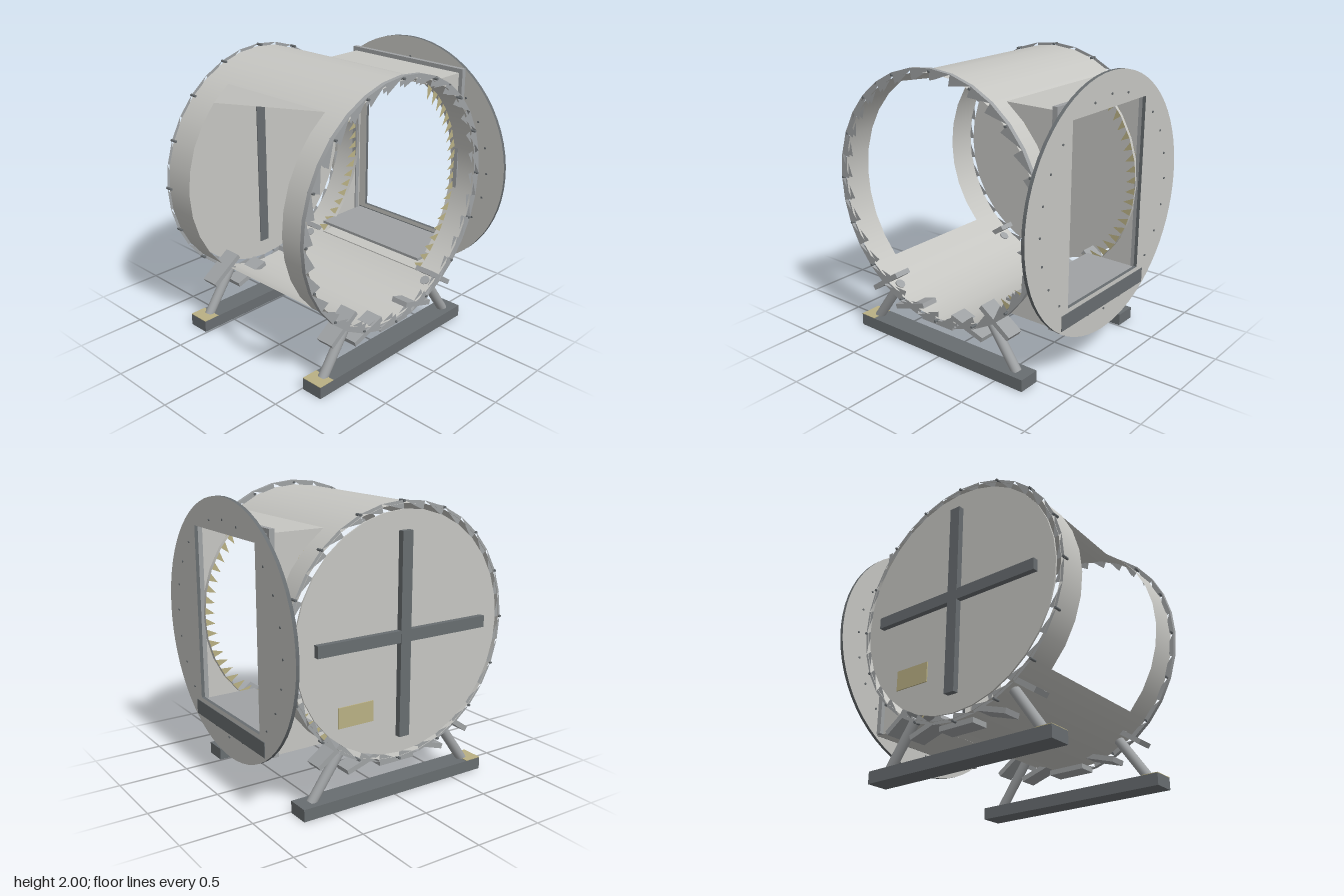
import * as THREE from 'three';

const mat = (name, color) => {
  const m = new THREE.MeshStandardMaterial({ color, side: THREE.DoubleSide });
  m.name = name;
  return m;
};

export function createModel() {
  const shellGrey = mat('shell grey', 0xc6c6c2);
  const flangeGrey = mat('flange grey', 0x9fa2a4);
  const darkSteel = mat('dark steel', 0x686d70);
  const tan = mat('tan', 0xb9b084);

  const model = new THREE.Group();
  const body = new THREE.Group(); // origin on the chamber axis
  body.name = 'chamber';
  body.position.set(-0.02, 1.125, 0);
  model.add(body);

  const add = (parent, name, geo, m, x = 0, y = 0, z = 0) => {
    const mesh = new THREE.Mesh(geo, m);
    mesh.name = name;
    mesh.position.set(x, y, z);
    parent.add(mesh);
    return mesh;
  };
  // box given by its limits
  const box = (parent, name, m, x0, x1, y0, y1, z0, z1) =>
    add(parent, name, new THREE.BoxGeometry(x1 - x0, y1 - y0, z1 - z0), m,
      (x0 + x1) / 2, (y0 + y1) / 2, (z0 + z1) / 2);
  // flat triangles from a list of corner points
  const triangles = (pts) => {
    const g = new THREE.BufferGeometry().setFromPoints(pts);
    g.computeVertexNormals();
    return g;
  };

  const STEP = Math.PI / 16, R = 0.845;
  const polar = (r, i, z) => new THREE.Vector3(r * Math.cos(i * STEP), r * Math.sin(i * STEP), z);

  // Part of the drum wall between two facet indices and two depths
  const wall = (name, r, i0, i1, z0, z1, m) => {
    const pos = [], nor = [], idx = [];
    for (let i = i0; i <= i1; i++) {
      const n = polar(1, i, 0);
      for (const z of [z0, z1]) {
        pos.push(n.x * r, n.y * r, z);
        nor.push(n.x, n.y, 0);
      }
      const k = (i - i0) * 2;
      if (i < i1) idx.push(k, k + 2, k + 1, k + 1, k + 2, k + 3);
    }
    const g = new THREE.BufferGeometry();
    g.setAttribute('position', new THREE.Float32BufferAttribute(pos, 3));
    g.setAttribute('normal', new THREE.Float32BufferAttribute(nor, 3));
    g.setIndex(idx);
    return add(body, name, g, m);
  };

  // Drum: two full end bands, roof and floor between the side openings
  wall('frontBand', R, 0, 32, 0.45, 0.655, shellGrey);
  wall('backBand', R, 0, 32, -0.685, -0.46, shellGrey);
  wall('drumRoof', R, 5, 11, -0.46, 0.45, shellGrey);
  wall('drumFloor', R, 20, 27, -0.46, 0.45, shellGrey);
  add(body, 'slantedRoofEdge', triangles(
    [polar(R, 11, -0.46), polar(R, 12, -0.46), polar(R, 11, 0.45)]), shellGrey);

  // Toothed end flanges
  const toothRing = (name, r0, r1, z) => {
    const pts = [];
    for (let i = 0; i < 32; i++) pts.push(polar(r1, i, z), polar(r1, i + 1, z), polar(r0, i + 1, z));
    add(body, name, triangles(pts), flangeGrey);
  };
  toothRing('frontFlangeFace', 0.8, 0.878, 0.67);
  toothRing('frontFlangeBack', 0.8, 0.878, 0.64);
  toothRing('backFlange', 0.805, 0.865, -0.68);
  wall('frontFlangeRim', 0.878, 0, 32, 0.64, 0.67, flangeGrey);

  // Back cover with cross bars and plate
  const cover = new THREE.CylinderGeometry(0.81, 0.81, 0.012, 32).rotateX(Math.PI / 2);
  add(body, 'backCover', cover, shellGrey, 0, 0, -0.684);
  box(body, 'verticalBar', darkSteel, -0.04, 0.04, -0.685, 0.68, -0.732, -0.672);
  box(body, 'horizontalBar', darkSteel, -0.67, 0.67, -0.04, 0.04, -0.73, -0.69);
  box(body, 'backPlate', tan, 0.23, 0.5, -0.54, -0.4, -0.698, -0.69);

  // Rim bolts
  const bolt = new THREE.CylinderGeometry(0.009, 0.009, 0.05, 8).rotateX(Math.PI / 2);
  for (let i = 0; i < 32; i += 2) {
    const p = polar(0.86, i, 0);
    add(body, 'frontBolt', bolt, darkSteel, p.x, p.y, 0.655);
    add(body, 'backBolt', bolt, darkSteel, p.x, p.y, -0.665);
  }

  // Side port: roof, floor and side walls trimmed to the drum
  const port = new THREE.Group();
  port.name = 'port';
  body.add(port);
  box(port, 'portRoof', shellGrey, 0.46, 0.885, 0.695, 0.705, -0.485, 0.485);
  box(port, 'portBottom', shellGrey, 0.46, 0.885, -0.71, -0.7, -0.485, 0.485);
  box(port, 'portFloor', flangeGrey, 0.46, 0.885, -0.63, -0.61, -0.48, 0.48);
  box(port, 'portSill', darkSteel, 0.885, 0.917, -0.71, -0.605, -0.487, 0.487);
  const side = new THREE.Shape();
  side.moveTo(0.885, -0.705);
  side.lineTo(0.885, 0.705);
  for (let i = 5; i >= -5; i--) {
    const p = polar(R, i, 0);
    side.lineTo(p.x, p.y);
  }
  const teeth = [];
  for (let i = -5; i < 5; i += 0.5) {
    const tip = polar(0.755, i, 0);
    teeth.push(polar(R, i, 0), polar(R, i + 0.4, 0), tip);
  }
  for (const z of [-0.485, 0.485]) {
    add(port, 'portSide', new THREE.ShapeGeometry(side), shellGrey, 0, 0, z);
    add(port, 'portTeeth', triangles(teeth), tan, 0, 0, z);
  }

  // Rectangular collar around the port
  const rect = (path, w, y0, y1) => {
    path.moveTo(-w, y0);
    path.lineTo(w, y0);
    path.lineTo(w, y1);
    path.lineTo(-w, y1);
    path.closePath();
    return path;
  };
  const plate = (name, shape, depth, x, m) => {
    const g = new THREE.ExtrudeGeometry(shape, { depth, bevelEnabled: false, curveSegments: 32 });
    add(port, name, g.rotateY(Math.PI / 2), m, x);
  };
  const collar = rect(new THREE.Shape(), 0.515, -0.71, 0.735);
  collar.holes.push(rect(new THREE.Path(), 0.475, -0.69, 0.69));
  plate('portCollar', collar, 0.035, 0.83, flangeGrey);

  // Round face plate with a rectangular opening and a dark edge
  const disc = new THREE.Shape().absarc(0, 0, 0.878, 0, Math.PI * 2);
  disc.holes.push(rect(new THREE.Path(), 0.42, -0.575, 0.645));
  plate('facePlate', disc, 0.024, 0.888, [shellGrey, darkSteel]);

  // Face plate bolts, left out where the opening is
  const stud = new THREE.CylinderGeometry(0.008, 0.008, 0.034, 8).rotateZ(Math.PI / 2);
  for (let i = 0; i < 24; i++) {
    const a = i * Math.PI / 12, z = 0.733 * Math.cos(a), y = 0.733 * Math.sin(a);
    if (Math.abs(z) < 0.42 && y > -0.575 && y < 0.645) continue;
    add(port, 'faceBolt', stud, darkSteel, 0.9, y, z);
  }

  // Supports: beams, slanted legs and tilted pads at both ends
  for (const z of [-0.59, 0.59]) {
    const support = new THREE.Group();
    support.name = z > 0 ? 'frontSupport' : 'backSupport';
    support.position.set(-0.02, 0, z);
    model.add(support);
    box(support, 'baseBeam', darkSteel, -0.742, 0.742, 0, 0.085, -0.08, 0.08);
    box(support, 'beamEndPlate', tan, -0.742, -0.62, 0.085, 0.089, -0.08, 0.08);
    for (const s of [-1, 1]) {
      const a = new THREE.Vector3(s * 0.64, 0.075, 0), b = new THREE.Vector3(s * 0.41, 0.4, 0);
      const leg = add(support, 'leg', new THREE.CylinderGeometry(0.035, 0.035, a.distanceTo(b), 16), flangeGrey);
      leg.position.lerpVectors(a, b, 0.5);
      leg.quaternion.setFromUnitVectors(new THREE.Vector3(0, 1, 0), b.clone().sub(a).normalize());
    }
    for (let k = -2; k <= 2; k++) {
      const t = k * 0.305;
      const pad = add(support, 'pad', new THREE.BoxGeometry(0.28, 0.036, 0.13), flangeGrey,
        0.875 * Math.sin(t), 1.125 - 0.875 * Math.cos(t), 0);
      pad.rotation.z = -t;
    }
  }
  return model;
}
